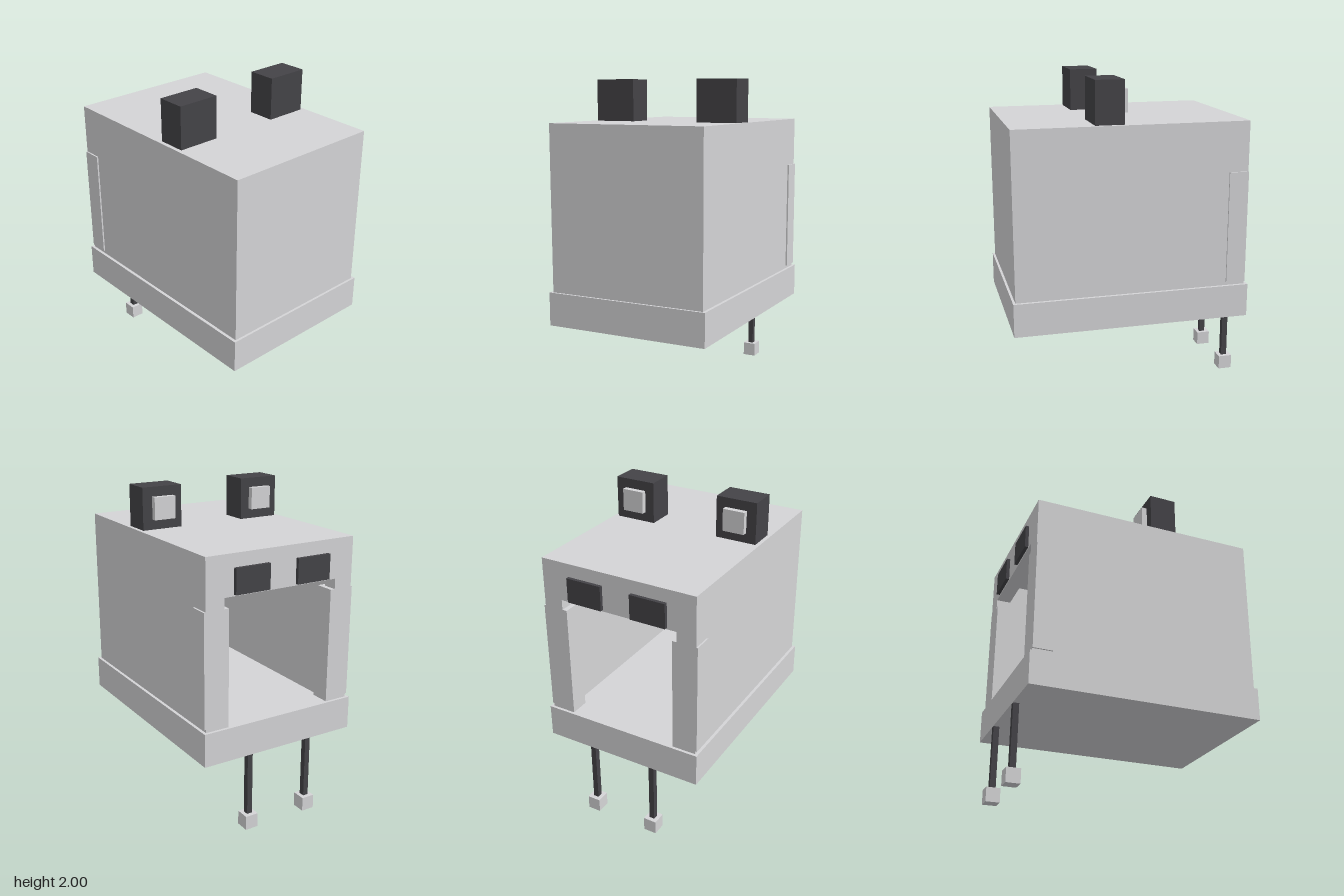
import * as THREE from 'three';

export function createModel() {
  const model = new THREE.Group();
  const grey = new THREE.MeshStandardMaterial({ color: 0xd4d4d6 });
  grey.name = 'light grey';
  const dark = new THREE.MeshStandardMaterial({ color: 0x444347 });
  dark.name = 'charcoal';

  const add = (name, geometry, material) => {
    const mesh = new THREE.Mesh(geometry, material);
    mesh.name = name;
    model.add(mesh);
    return mesh;
  };

  // Box given by its lower and upper limits on each axis
  const box = (name, material, [x0, x1], [y0, y1], [z0, z1]) => {
    const mesh = add(name, new THREE.BoxGeometry(x1 - x0, y1 - y0, z1 - z0), material);
    mesh.position.set((x0 + x1) / 2, (y0 + y1) / 2, (z0 + z1) / 2);
  };

  // Upside-down U: side walls and a roof around an opening, pushed along z
  const arch = (name, innerX, innerTop, z0, z1) => {
    const outerX = 0.513, bottom = 0.7, top = 1.737;
    const shape = new THREE.Shape([
      [-outerX, bottom], [-innerX, bottom], [-innerX, innerTop], [innerX, innerTop],
      [innerX, bottom], [outerX, bottom], [outerX, top], [-outerX, top],
    ].map(([x, y]) => new THREE.Vector2(x, y)));
    const geometry = new THREE.ExtrudeGeometry(shape, { depth: z1 - z0, bevelEnabled: false });
    geometry.translate(0, 0, z0);
    add(name, geometry, grey);
  };

  // Base slab with a raised rim around the sunken floor
  box('base', grey, [-0.532, 0.532], [0.49, 0.65], [-0.731, 0.756]);
  box('frontRim', grey, [-0.532, 0.532], [0.65, 0.7], [0.69, 0.756]);
  box('doorSill', grey, [-0.532, 0.532], [0.65, 0.7], [-0.731, -0.59]);

  // Hollow body, open at the back
  arch('bodyShell', 0.46, 1.66, -0.62, 0.69);
  arch('doorFrame', 0.39, 1.49, -0.713, -0.62);
  box('frontWall', grey, [-0.513, 0.513], [0.7, 1.737], [0.69, 0.741]);

  for (const s of [-1, 1]) {
    // Mirrored x limits
    const span = (a, b) => (s > 0 ? [a, b] : [-b, -a]);

    box('sideRim', grey, span(0.46, 0.532), [0.65, 0.7], [-0.59, 0.69]);

    // Post inside the doorway, and its raised trim on the outer wall
    box('doorPost', grey, span(0.36, 0.513), [0.7, 1.425], [-0.713, -0.59]);
    box('sideTrim', grey, span(0.513, 0.523), [0.72, 1.425], [-0.713, -0.59]);

    // Roof lamps with a pale panel facing back
    box('roofLamp', dark, span(0.222, 0.488), [1.737, 2], [0.065, 0.242]);
    box('lampPanel', grey, span(0.282, 0.424), [1.8, 1.94], [0.03, 0.065]);

    // Dark plates above the doorway
    box('rearPlate', dark, span(0.097, 0.328), [1.5, 1.655], [-0.735, -0.713]);

    // Thin hanging rods with cube ends
    box('rod', dark, span(0.197, 0.232), [0.09, 0.49], [-0.729, -0.692]);
    box('rodEnd', grey, span(0.172, 0.257), [0, 0.09], [-0.756, -0.668]);
  }

  return model;
}
